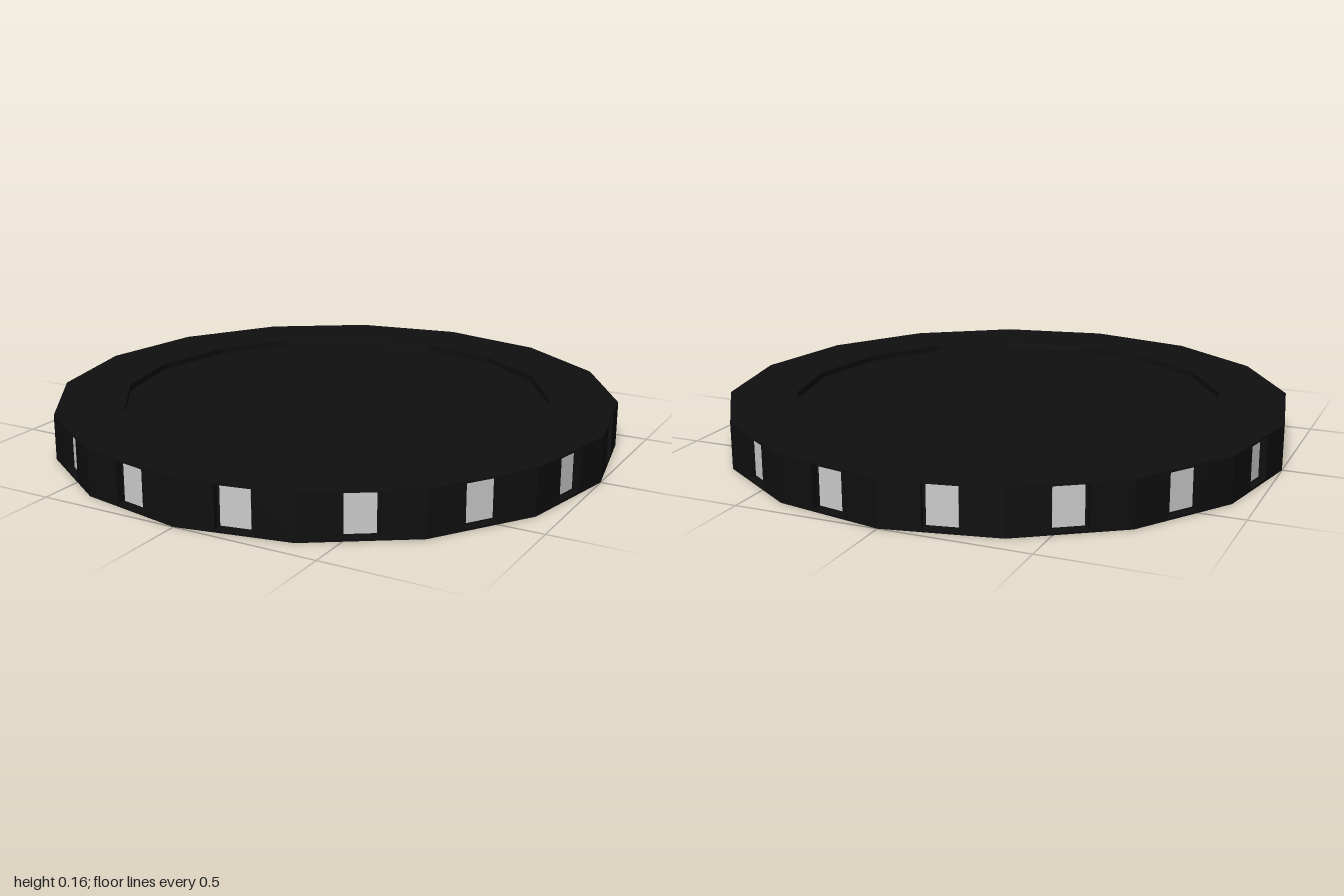
import * as THREE from 'three';

const SIDES = 16;
const HEIGHT = 0.16;
const APOTHEM = Math.cos(Math.PI / SIDES);
const SIDE_LENGTH = 2 * Math.sin(Math.PI / SIDES);
const POCKET = 0.025; // depth of the window pockets

function rectangle(PathType, x0, y0, x1, y1) {
  const path = new PathType();
  path.moveTo(x0, y0);
  path.lineTo(x1, y0);
  path.lineTo(x1, y1);
  path.lineTo(x0, y1);
  path.closePath();
  return path;
}

export function createModel() {
  const group = new THREE.Group();
  const black = new THREE.MeshStandardMaterial({ color: 0x0f0f0f, flatShading: true });
  const grey = new THREE.MeshStandardMaterial({ color: 0xcccccc, flatShading: true });

  // Sixteen-sided core with a shallow dish in the top
  const coreRadius = (APOTHEM - POCKET) / APOTHEM;
  const profile = [
    [0, 0], [coreRadius, 0], [coreRadius, HEIGHT],
    [0.76, HEIGHT], [0.76, HEIGHT - 0.022], [0, HEIGHT - 0.022],
  ].map(([r, y]) => new THREE.Vector2(r, y));
  const core = new THREE.Mesh(new THREE.LatheGeometry(profile, SIDES), black);
  core.name = 'dishedCore';
  group.add(core);

  // Wall plate with a window opening, its outer face at z = APOTHEM
  const plate = rectangle(THREE.Shape, -SIDE_LENGTH / 2, 0, SIDE_LENGTH / 2, HEIGHT);
  plate.holes.push(rectangle(THREE.Path, -0.06, 0.008, 0.06, 0.153));
  const plateGeometry = new THREE.ExtrudeGeometry(plate, { depth: POCKET, bevelEnabled: false });
  plateGeometry.translate(0, 0, APOTHEM - POCKET);

  // Light panel set at the bottom of each pocket
  const panelGeometry = new THREE.BoxGeometry(0.1, 0.134, 0.01);
  panelGeometry.translate(0, 0.082, APOTHEM - POCKET - 0.002);

  for (let i = 0; i < SIDES; i++) {
    const side = new THREE.Group();
    side.name = `side${i + 1}`;
    const wall = new THREE.Mesh(plateGeometry, black);
    wall.name = 'wallPlate';
    const panel = new THREE.Mesh(panelGeometry, grey);
    panel.name = 'lightPanel';
    side.add(wall, panel);
    side.rotation.y = ((i + 0.5) * 2 * Math.PI) / SIDES;
    group.add(side);
  }
  return group;
}
